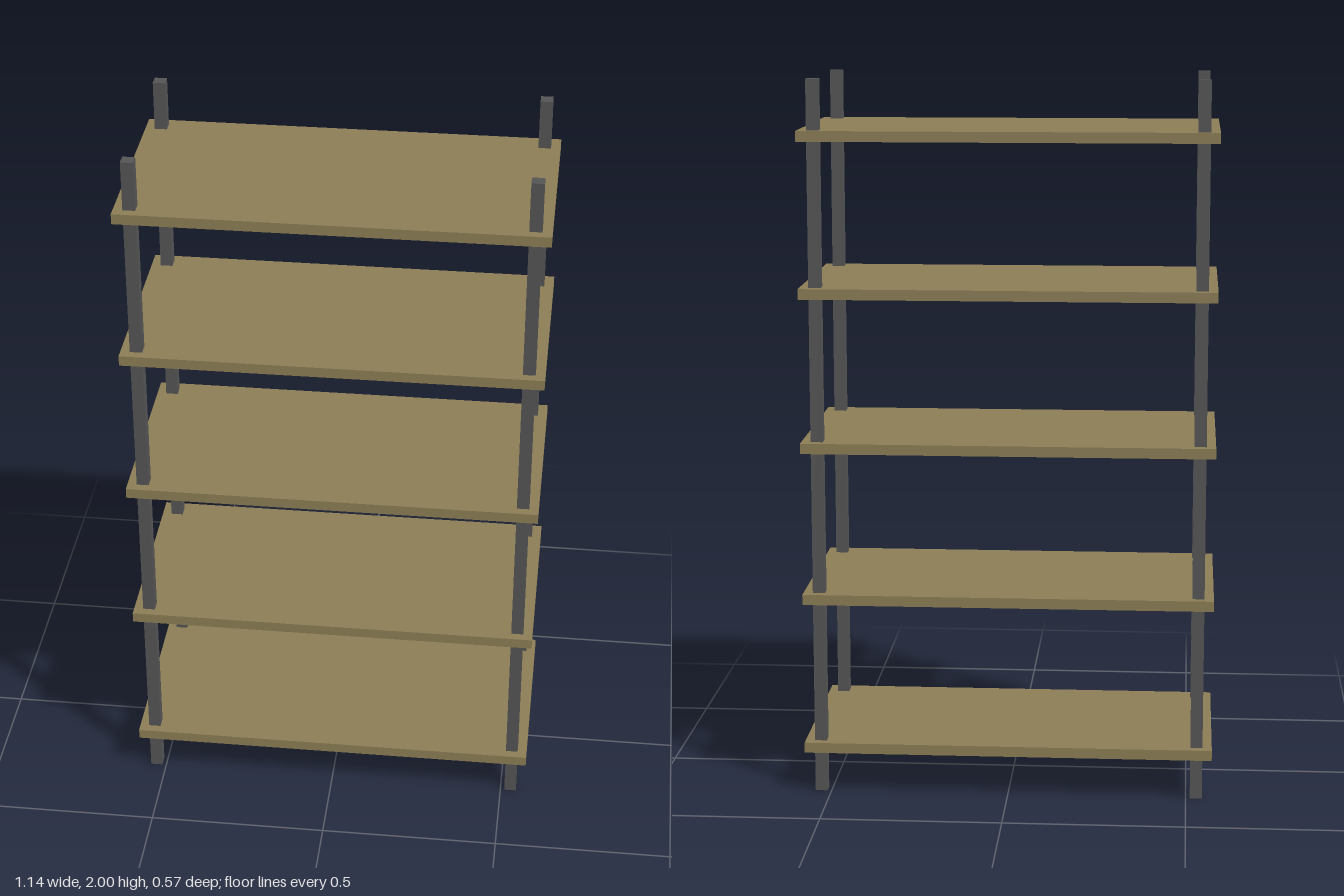
import * as THREE from 'three';

export function createModel() {
  const model = new THREE.Group();
  model.name = 'shelvingUnit';
  const wood = new THREE.MeshStandardMaterial({ color: 0x8b7d55 });
  const metal = new THREE.MeshStandardMaterial({ color: 0x555555 });

  const addBox = (name, size, position, material) => {
    const mesh = new THREE.Mesh(new THREE.BoxGeometry(...size), material);
    mesh.name = name;
    mesh.position.set(...position);
    model.add(mesh);
  };

  // Four square posts running the full height
  for (const [xName, x] of [['Left', 0.5286], ['Right', -0.5286]]) {
    for (const [zName, z] of [['front', 0.243], ['back', -0.243]]) {
      addBox(`${zName}${xName}Post`, [0.034, 2, 0.034], [x, 1, z], metal);
    }
  }

  // Five evenly spaced boards
  for (let i = 0; i < 5; i++) {
    addBox(`shelf${i + 1}`, [1.143, 0.029, 0.571], [0, 0.133 + i * 0.4286, 0], wood);
  }
  return model;
}
